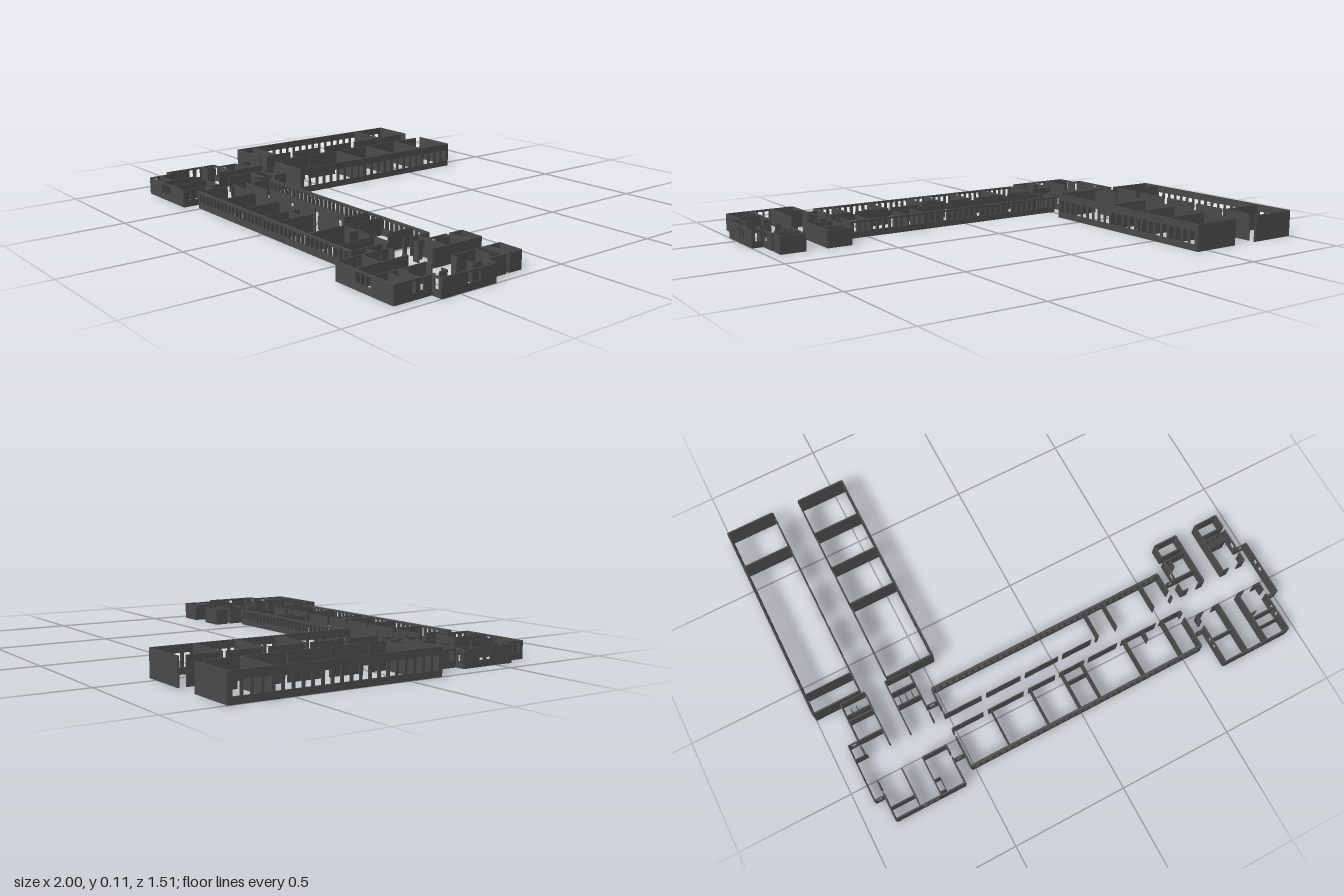
import * as THREE from 'three';

const LOW = 0.075, HIGH = 0.113;
const mat = new THREE.MeshStandardMaterial({ color: 0x4a4a4a });

function rect(path, x0, y0, x1, y1) {
  path.moveTo(x0, y0);
  path.lineTo(x1, y0);
  path.lineTo(x1, y1);
  path.lineTo(x0, y1);
  path.closePath();
  return path;
}

// Straight wall on the plan from (x0,z0) to (x1,z1).
// doors: [centre along x or z, width] full-height gaps; windows: [from, to, count, width share]
function wall(group, name, x0, z0, x1, z1, { h = LOW, t = 0.006, doors = [], windows = null, sill = 0.027, head = 0.066 } = {}) {
  const alongX = z0 === z1;
  const a = alongX ? Math.min(x0, x1) : Math.min(z0, z1);
  const b = alongX ? Math.max(x0, x1) : Math.max(z0, z1);
  const spans = [];
  let start = a;
  for (const [c, w] of [...doors].sort((p, q) => p[0] - q[0])) {
    if (c - w / 2 > start) spans.push([start, c - w / 2]);
    start = c + w / 2;
  }
  if (start < b) spans.push([start, b]);
  for (const [s, e] of spans) {
    const shape = rect(new THREE.Shape(), s, 0, e, h);
    if (windows) {
      const [from, to, count, share = 0.6] = windows;
      const pitch = (to - from) / count;
      for (let i = 0; i < count; i++) {
        const c = from + pitch * (i + 0.5), w = pitch * share / 2;
        if (c - w > s + 0.002 && c + w < e - 0.002) shape.holes.push(rect(new THREE.Path(), c - w, sill, c + w, head));
      }
    }
    const geo = new THREE.ExtrudeGeometry(shape, { depth: t, bevelEnabled: false });
    geo.translate(0, 0, -t / 2);
    const mesh = new THREE.Mesh(geo, mat);
    mesh.name = name;
    if (alongX) mesh.position.z = z0;
    else {
      mesh.rotation.y = -Math.PI / 2;
      mesh.position.x = x0;
    }
    group.add(mesh);
  }
}

function addGroup(parent, name) {
  const g = new THREE.Group();
  g.name = name;
  parent.add(g);
  return g;
}

// Tall rear wing: one row of rooms with a windowed outer side and a corridor side
function rearWing(parent, name, outer, inner, cross) {
  const g = addGroup(parent, name);
  const z0 = -0.753, z1 = 0.153;
  wall(g, 'outerWall', outer, z0, outer, z1, { h: HIGH, windows: [z0 + 0.01, z1 - 0.01, 22, 0.7], head: 0.082 });
  const doors = [-0.735, -0.575, -0.395, -0.21, -0.03, 0.135].map((z) => [z, 0.028]);
  wall(g, 'corridorWall', inner, z0, inner, z1, { h: HIGH, doors });
  for (const z of [z0, z1]) wall(g, 'endWall', outer, z, inner, z, { h: HIGH });
  for (const [z, t] of cross) wall(g, 'partition', outer, z, inner, z, { h: HIGH, t });
}

// Long main block: two rows of rooms either side of a corridor
function mainBlock(parent) {
  const g = addGroup(parent, 'mainBlock');
  const x0 = -0.515, x1 = 0.58;
  for (const z of [0.276, 0.64]) wall(g, 'outerWall', x0, z, x1, z, { t: 0.011, windows: [x0 + 0.01, x1 - 0.01, 36, 0.65] });
  for (const x of [x0, x1]) {
    wall(g, 'endWall', x, 0.276, x, 0.4, { doors: [[0.375, 0.02]] });
    wall(g, 'endWall', x, 0.465, x, 0.64, { doors: [[0.49, 0.02]] });
  }
  const north = [-0.335, -0.15, 0.03, 0.19].map((x) => [x, 0.022]);
  wall(g, 'corridorWall', -0.52, 0.4, 0.215, 0.4, { t: 0.004, doors: north });
  const south = [-0.36, -0.17, -0.02, 0.12, 0.28, 0.47].map((x) => [x, 0.022]);
  wall(g, 'corridorWall', x0, 0.465, x1, 0.465, { t: 0.004, doors: south });
  for (const x of [0.215, 0.305, 0.49]) wall(g, 'partition', x, 0.276, x, 0.4, { t: 0.003 });
  for (const x of [-0.335, -0.15, 0, 0.095, 0.305, 0.49]) wall(g, 'partition', x, 0.465, x, 0.64, { t: 0.003 });
  wall(g, 'partition', 0, 0.517, 0.095, 0.517, { t: 0.003 });
  wall(g, 'partition', 0.395, 0.465, 0.395, 0.51, { t: 0.003 });
}

// Cross-shaped end pavilion: four corner rooms around a crossing
// xs: [west room outer, west room inner, east room inner, east room outer]
function pavilion(parent, name, xs, front, westEnd, eastEnd) {
  const g = addGroup(parent, name);
  const [a, b, c, d] = xs;
  for (const [outer, inner, end] of [[a, b, westEnd], [d, c, eastEnd]]) {
    // rear room
    wall(g, 'rearRoomOuter', outer, 0.157, outer, 0.395, { doors: [[0.226, 0.016], [0.345, 0.02]], windows: [0.28, 0.33, 1, 0.5] });
    wall(g, 'rearRoomInner', inner, 0.157, inner, 0.395);
    for (const z of [0.157, 0.217]) wall(g, 'rearRoomCross', outer, z, inner, z);
    // front room
    wall(g, 'frontRoomOuter', outer, 0.515, outer, front, { doors: [[0.56, 0.02]], windows: [0.61, 0.68, 2, 0.4] });
    wall(g, 'frontRoomInner', inner, 0.515, inner, front);
    wall(g, 'frontRoomFront', outer, front, inner, front);
    // link walls between rooms and the pavilion ends
    for (const z of [0.332, 0.582]) wall(g, 'linkWall', outer, z, end, z, { windows: [Math.min(outer, end), Math.max(outer, end), 1, 0.5] });
  }
  wall(g, 'glazedFront', b, front, c, front, { windows: [b + 0.005, c - 0.005, 3, 0.75] });
  return g;
}

export function createModel() {
  const model = new THREE.Group();
  model.name = 'buildingFloorPlan';

  rearWing(model, 'westRearWing', -0.997, -0.785, [[-0.575, 0.006], [0.065, 0.003]]);
  rearWing(model, 'eastRearWing', -0.449, -0.662, [[-0.575, 0.006], [-0.395, 0.006], [-0.21, 0.006]]);
  mainBlock(model);

  // West pavilion with its inner partitions
  const west = pavilion(model, 'westPavilion', [-0.88, -0.77, -0.675, -0.567], 0.688, -0.925, -0.518);
  wall(west, 'endWall', -0.925, 0.332, -0.925, 0.582, { t: 0.003, windows: [0.4, 0.475, 2, 0.5] });
  wall(west, 'partition', -0.88, 0.24, -0.77, 0.24);
  wall(west, 'partition', -0.88, 0.332, -0.77, 0.332);
  wall(west, 'partition', -0.925, 0.397, -0.87, 0.397, { t: 0.003 });
  wall(west, 'partition', -0.88, 0.637, -0.77, 0.637, { t: 0.004 });
  wall(west, 'partition', -0.675, 0.277, -0.567, 0.277);
  for (const x of [-0.85, -0.825]) wall(west, 'stall', x, 0.195, x, 0.24, { t: 0.003 });
  for (const x of [-0.65, -0.622, -0.595]) wall(west, 'stall', x, 0.24, x, 0.277, { t: 0.003 });
  wall(west, 'partition', -0.675, 0.515, -0.567, 0.515);
  wall(west, 'partition', -0.648, 0.62, -0.648, 0.675, { t: 0.003 });
  for (const z of [0.62, 0.675]) wall(west, 'partition', -0.675, z, -0.648, z, { t: 0.003 });

  // East pavilion with its inner partitions
  const east = pavilion(model, 'eastPavilion', [0.635, 0.742, 0.84, 0.948], 0.748, 0.592, 0.997);
  wall(east, 'endWall', 0.997, 0.332, 0.997, 0.582, { windows: [0.4, 0.475, 2, 0.5] });
  for (const [x0, x1] of [[0.635, 0.742], [0.84, 0.948]]) {
    wall(east, 'partition', x0, 0.24, x1, 0.24);
    wall(east, 'partition', x0, 0.395, x1, 0.395, { doors: [[(x0 + x1) / 2, 0.05]] });
    wall(east, 'partition', x0, 0.515, x1, 0.515, { doors: [[x0 + 0.055, 0.05]] });
    wall(east, 'partition', x0, 0.637, x1, 0.637);
  }
  wall(east, 'partition', 0.635, 0.332, 0.742, 0.332);
  wall(east, 'stall', 0.662, 0.24, 0.662, 0.28, { t: 0.003 });
  for (const x of [0.866, 0.893, 0.92]) wall(east, 'stall', x, 0.24, x, 0.28, { t: 0.003 });
  wall(east, 'stallBack', 0.84, 0.28, 0.948, 0.28, { t: 0.003, doors: [[0.93, 0.02]] });
  wall(east, 'partition', 0.84, 0.685, 0.948, 0.685, { t: 0.004 });
  wall(east, 'stall', 0.84, 0.617, 0.87, 0.617, { t: 0.003 });

  return model;
}
